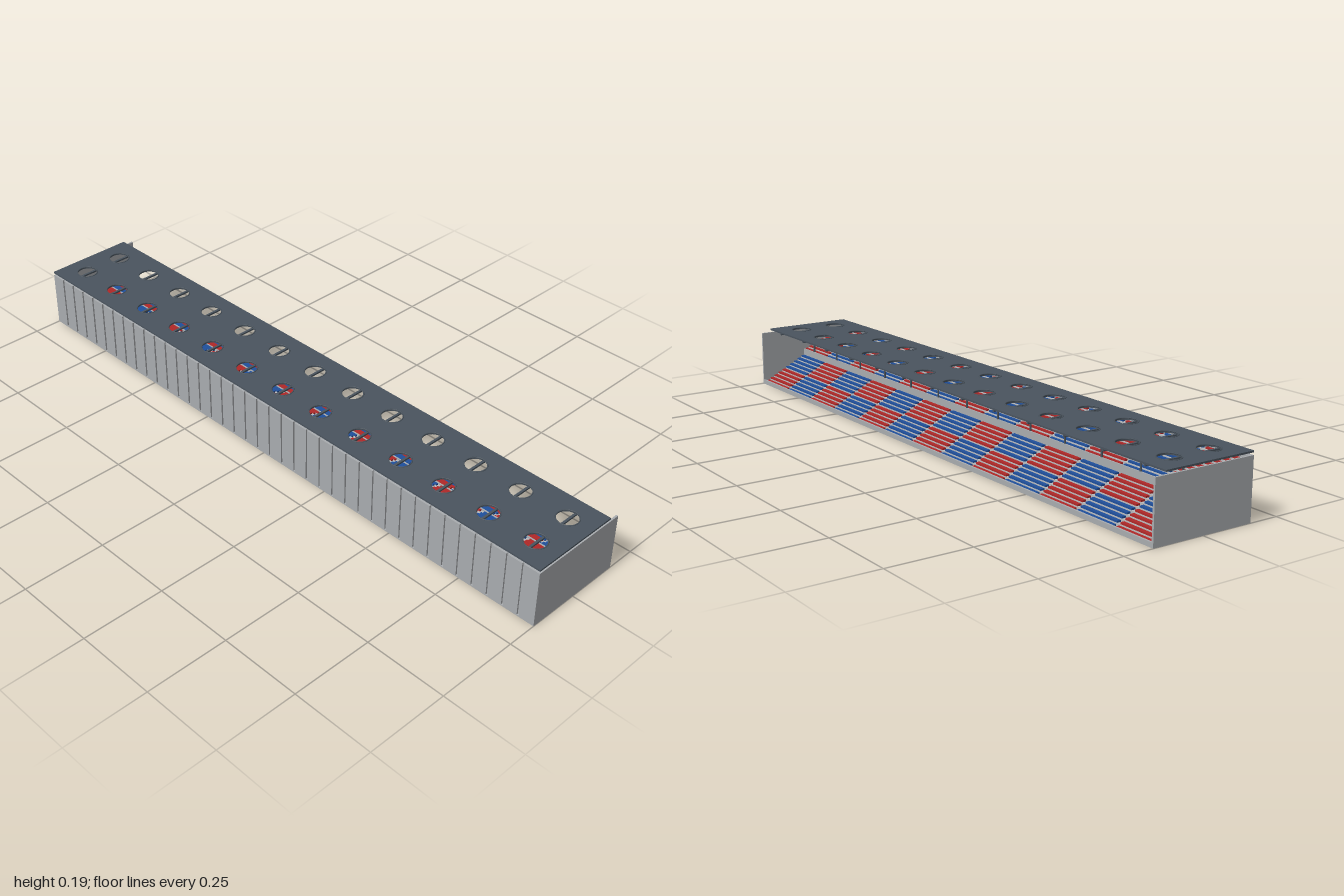
import * as THREE from 'three';

const flat = (color, name, extra = {}) => {
  const m = new THREE.MeshStandardMaterial({ color, ...extra });
  m.name = name;
  return m;
};

export function createModel() {
  const model = new THREE.Group();
  model.name = 'grandstand';
  const wall = flat(0xa9acaf, 'wall grey');
  const concrete = flat(0xb9bbbd, 'step concrete');
  const steel = flat(0x4a545e, 'roof steel');
  const red = flat(0xb02828, 'seat red');
  const blue = flat(0x1f4f9c, 'seat blue');

  const add = (geo, mat, name, x = 0, y = 0, z = 0) => {
    const mesh = new THREE.Mesh(geo, mat);
    mesh.name = name;
    mesh.position.set(x, y, z);
    model.add(mesh);
    return mesh;
  };
  const box = (w, h, d, mat, name, x, y, z) => add(new THREE.BoxGeometry(w, h, d), mat, name, x, y, z);

  // Two tiers of steps, rising towards the front wall
  const BLOCKS = 13, PITCH = 2 / BLOCKS, ROWS = 10;
  const tiers = [
    { z0: -0.152, y0: 0.006, run: 0.0152, rise: 0.0078, cover: 0.8 },
    { z0: 0, y0: 0.1, run: 0.0152, rise: 0.0066, cover: 0.55 },
  ];
  const profile = new THREE.Shape();
  profile.moveTo(-0.152, 0);
  tiers.forEach(({ z0, y0, run, rise }) => {
    for (let i = 0; i < ROWS; i++) {
      profile.lineTo(z0 + i * run, y0 + i * rise);
      profile.lineTo(z0 + (i + 1) * run, y0 + i * rise);
    }
  });
  profile.lineTo(0.152, 0);
  const steps = new THREE.ExtrudeGeometry(profile, { depth: 1.988, bevelEnabled: false });
  steps.translate(0, 0, -0.994).rotateY(-Math.PI / 2);
  add(steps, concrete, 'steps');

  // Seat rows in alternating blocks, three colour bands deep, with aisles between
  tiers.forEach(({ z0, y0, run, rise, cover }, t) => {
    for (let i = 0; i < ROWS; i++) {
      const band = t === 1 ? 2 : i < ROWS / 2 ? 0 : 1;
      for (let b = 0; b < BLOCKS; b++) {
        const x = -1 + (b + 0.5) * PITCH;
        box(PITCH - 0.012, 0.005, run * cover, (b + band) % 2 ? blue : red, 'seatRow',
          x, y0 + i * rise + 0.0027, z0 + (i + 0.52) * run);
      }
    }
  });

  // Walls, base and the parapets in front of each tier
  for (const s of [-1, 1]) box(0.006, 0.176, 0.32, wall, 'endWall', s * 0.997, 0.088, 0);
  box(1.988, 0.004, 0.32, wall, 'base', 0, 0.002, 0);
  box(1.988, 0.014, 0.006, wall, 'lowerParapet', 0, 0.007, -0.157);
  box(1.988, 0.022, 0.004, wall, 'tierParapet', 0, 0.093, -0.001);
  box(1.988, 0.174, 0.006, wall, 'frontWall', 0, 0.088, 0.152);

  // Vertical cladding panels with narrow grooves
  const PANELS = 39, step = 2 / PANELS;
  for (let i = 0; i < PANELS; i++) {
    box(step - 0.007, 0.176, 0.007, wall, 'claddingPanel', -1 + (i + 0.5) * step, 0.088, 0.1565);
  }

  // Flat roof pierced by two rows of round openings
  const roof = new THREE.Shape();
  roof.moveTo(-1, -0.127);
  roof.lineTo(1, -0.127);
  roof.lineTo(1, 0.16);
  roof.lineTo(-1, 0.16);
  const xs = Array.from({ length: BLOCKS }, (_, b) => -1 + (b + 0.5) * PITCH);
  const R = 0.032, holeZ = [-0.048, 0.082];
  for (const x of xs) for (const z of holeZ) {
    const hole = new THREE.Path();
    hole.absarc(x, z, R, 0, Math.PI * 2, true);
    roof.holes.push(hole);
  }
  const roofGeo = new THREE.ExtrudeGeometry(roof, { depth: 0.005, bevelEnabled: false, curveSegments: 12 });
  roofGeo.rotateX(Math.PI / 2);
  add(roofGeo, steel, 'roof', 0, 0.188, 0);

  // Opening rims, roof beams and posts
  const rimGeo = new THREE.TorusGeometry(R, 0.0018, 6, 24).rotateX(Math.PI / 2);
  for (const x of xs) {
    for (const z of holeZ) add(rimGeo, steel, 'openingRim', x, 0.1882, z);
    box(0.007, 0.005, 0.27, steel, 'roofBeam', x, 0.1805, 0.008);
    for (const [z, foot] of [[0, 0.08], [0.125, 0.15]]) {
      add(new THREE.CylinderGeometry(0.003, 0.003, 0.183 - foot, 8), steel, 'roofPost', x, (0.183 + foot) / 2, z);
    }
  }
  return model;
}
